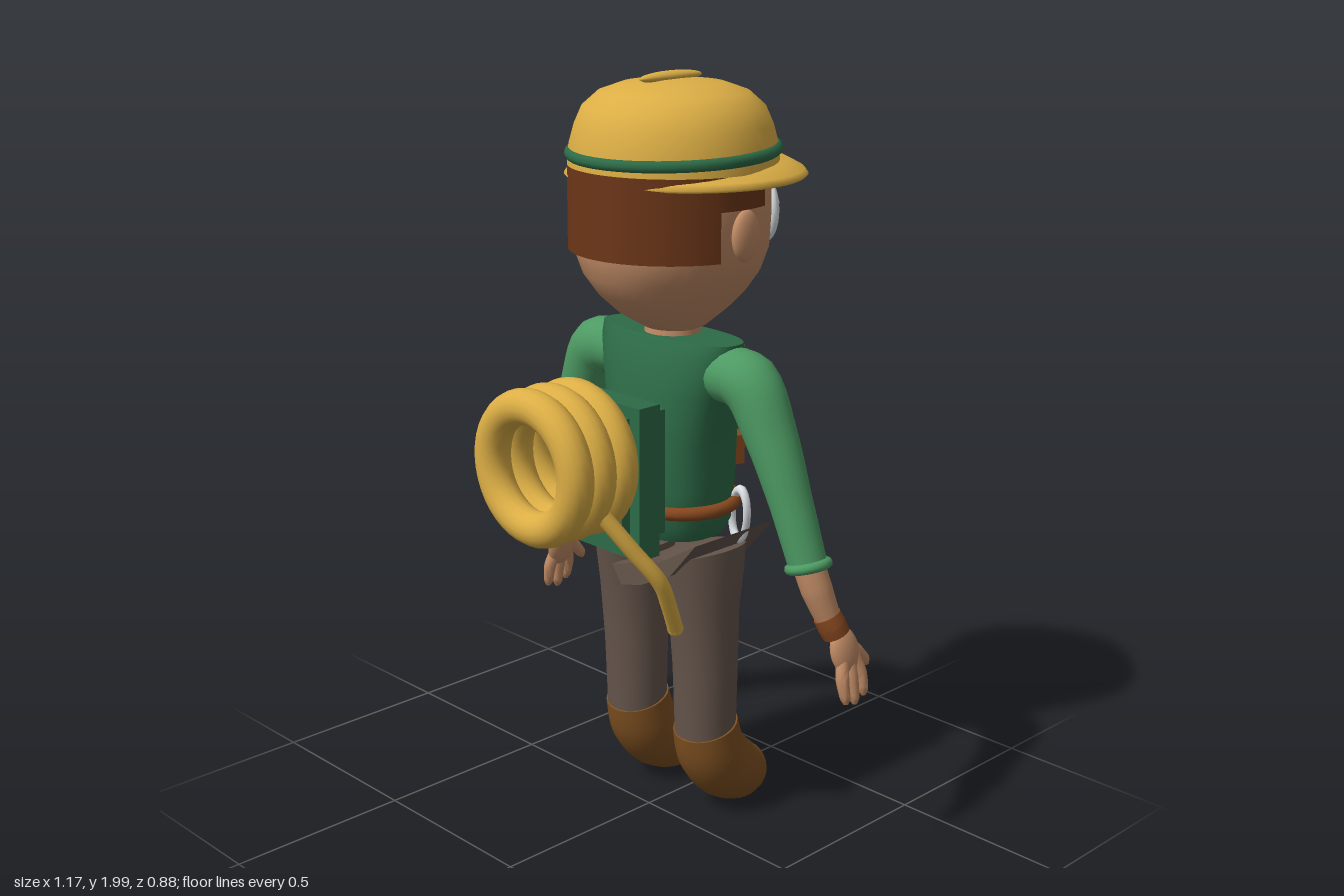
import * as THREE from 'three';
import { toCreasedNormals } from 'three/addons/utils/BufferGeometryUtils.js';

const V = (x, y, z) => new THREE.Vector3(x, y, z);
const mat = (name, color) => {
  const m = new THREE.MeshStandardMaterial({ color });
  m.name = name;
  return m;
};

// Closed solid through a list of equal-length rings, capped at both ends
function loft(rings, crease = 0.9) {
  const n = rings[0].length, pos = [], idx = [];
  rings.forEach(r => r.forEach(p => pos.push(p.x, p.y, p.z)));
  for (let i = 0; i < rings.length - 1; i++) for (let j = 0; j < n; j++) {
    const a = i * n + j, b = i * n + (j + 1) % n;
    idx.push(a, a + n, b, b, a + n, b + n);
  }
  [0, rings.length - 1].forEach((r, top) => {
    const c = V(0, 0, 0);
    rings[r].forEach(p => c.addScaledVector(p, 1 / n));
    pos.push(c.x, c.y, c.z);
    for (let j = 0; j < n; j++) {
      const a = r * n + j, b = r * n + (j + 1) % n, m = pos.length / 3 - 1;
      if (top) idx.push(m, b, a); else idx.push(m, a, b);
    }
  });
  const g = new THREE.BufferGeometry();
  g.setAttribute('position', new THREE.Float32BufferAttribute(pos, 3));
  g.setIndex(idx);
  return toCreasedNormals(g, crease);
}

// Horizontal ring: [height, half width, back z, front z, centre x]
function ring([y, rx, zb, zf, cx = 0], n = 32, p = 1, grow = 0) {
  const f = t => Math.sign(t) * Math.abs(t) ** p, out = [];
  for (let j = 0; j < n; j++) {
    const a = j / n * Math.PI * 2;
    out.push(V(cx + (rx + grow) * f(Math.cos(a)), y, (zb + zf) / 2 + ((zb - zf) / 2 + grow) * f(Math.sin(a))));
  }
  return out;
}

// Tapered limb along a smooth path
function sweep(pts, radii, ref, n = 20, steps = 20) {
  const curve = new THREE.CatmullRomCurve3(pts.map(p => V(...p))), rings = [];
  for (let i = 0; i <= steps; i++) {
    const t = i / steps, s = t * (radii.length - 1), k = Math.min(Math.floor(s), radii.length - 2);
    const r = THREE.MathUtils.lerp(radii[k], radii[k + 1], s - k);
    const c = curve.getPoint(t), d = curve.getTangent(t);
    const u = ref.clone().addScaledVector(d, -ref.dot(d)).normalize(), v = u.clone().cross(d);
    rings.push(Array.from({ length: n }, (_, j) => {
      const a = j / n * Math.PI * 2;
      return c.clone().addScaledVector(u, r * Math.cos(a)).addScaledVector(v, r * Math.sin(a));
    }));
  }
  return loft(rings);
}

export function createModel() {
  const root = new THREE.Group();
  const yellow = mat('yellow', 0xdcae45), skin = mat('skin', 0xc28c66), darkGreen = mat('dark green', 0x2d6b47),
    green = mat('sleeve green', 0x4d9a63), hairBrown = mat('hair brown', 0x6c3618), boot = mat('boot brown', 0x7c4f20),
    pants = mat('trouser grey brown', 0x65554b), pale = mat('pale silver', 0xdde2e6), blue = mat('eye blue', 0x2d6c92),
    leather = mat('leather', 0x87481f);
  const add = (name, geo, m, pos = [0, 0, 0], scale = [1, 1, 1], rot = [0, 0, 0], parent = root) => {
    const o = new THREE.Mesh(geo, m);
    o.name = name;
    o.position.set(...pos); o.scale.set(...scale); o.rotation.set(...rot);
    parent.add(o);
    return o;
  };
  const ball = new THREE.SphereGeometry(1, 24, 16);
  const tube = (pts, r) => new THREE.TubeGeometry(new THREE.CatmullRomCurve3(pts.map(p => V(...p))), 32, r, 10);
  const X = V(1, 0, 0), Z = V(0, 0, 1);

  // Head and hair
  const skull = [[1.345, 0.06, -0.03, -0.13], [1.36, 0.085, 0.0, -0.18], [1.4, 0.125, 0.07, -0.25],
    [1.45, 0.175, 0.125, -0.295], [1.5, 0.215, 0.158, -0.32], [1.56, 0.243, 0.175, -0.333],
    [1.65, 0.25, 0.178, -0.335], [1.75, 0.25, 0.175, -0.33], [1.82, 0.23, 0.15, -0.31]];
  add('head', loft(skull.map(s => ring(s))), skin);
  add('neck', new THREE.CylinderGeometry(0.07, 0.08, 0.1, 24), skin, [0, 1.33, -0.085]);
  // Hair layers are pie slices around the back; a is how far they wrap past the sides
  const hairLayer = (name, y0, y1, a) => {
    const slice = y => {
      const pts = [];
      for (let j = 0; j <= 32; j++) {
        const t = -a + j / 32 * (Math.PI + 2 * a);
        pts.push(V(0.261 * Math.cos(t), y, -0.08 + 0.267 * Math.sin(t)));
      }
      return [...pts, V(0, y, -0.08)];
    };
    add(name, loft([slice(y0), slice(y1)]), hairBrown);
  };
  hairLayer('backHair', 1.56, 1.77, -0.3);
  hairLayer('sideHair', 1.685, 1.77, 0.28);
  add('fringe', loft([1.725, 1.78].map(y => ring([y, 0.256, 0.18, -0.342]))), hairBrown);

  // Face
  for (const s of [1, -1]) {
    add('ear', ball, skin, [s * 0.257, 1.62, -0.08], [0.022, 0.065, 0.045]);
    const eye = new THREE.Group();
    eye.name = 'eye';
    eye.position.set(s * 0.115, 1.64, -0.308);
    eye.rotation.y = -s * 0.4;
    root.add(eye);
    add('eyeWhite', ball, pale, [0, 0, 0], [0.056, 0.082, 0.026], [0, 0, 0], eye);
    add('iris', ball, blue, [-s * 0.008, -0.004, -0.018], [0.037, 0.053, 0.014], [0, 0, 0], eye);
    add('pupil', ball, hairBrown, [-s * 0.012, -0.006, -0.027], [0.02, 0.03, 0.008], [0, 0, 0], eye);
    add('eyeGlint', ball, pale, [-s * 0.002, 0.016, -0.032], [0.008, 0.01, 0.004], [0, 0, 0], eye);
  }
  add('nose', ball, skin, [0, 1.585, -0.352], [0.025, 0.025, 0.025]);
  add('mouth', tube([[-0.045, 1.5, -0.309], [-0.02, 1.485, -0.314], [0.02, 1.485, -0.314], [0.045, 1.5, -0.309]], 0.007), leather);

  // Helmet
  const lathe = pts => new THREE.LatheGeometry(pts.map(p => new THREE.Vector2(...p)), 48);
  add('helmetDome', lathe([[0.268, 1.77], [0.264, 1.82], [0.25, 1.87], [0.23, 1.915], [0.19, 1.95], [0.13, 1.971],
    [0.06, 1.98], [0, 1.982]]), yellow, [0, 0, -0.085]);
  add('helmetBrim', lathe([[0.2, 1.765], [0.27, 1.752], [0.302, 1.737], [0.31, 1.744], [0.3, 1.757], [0.26, 1.778], [0.2, 1.79]]),
    yellow, [0, 0, -0.13]);
  add('helmetBand', new THREE.TorusGeometry(0.258, 0.017, 10, 48), darkGreen, [0, 1.806, -0.085], [1, 1, 1], [Math.PI / 2 + 0.04, 0, 0]);
  add('helmetRidge', ball, yellow, [0, 1.985, -0.075], [0.023, 0.015, 0.107]);

  // Torso
  const torso = [[0.81, 0.15, 0.04, -0.19], [0.85, 0.168, 0.06, -0.215], [0.95, 0.172, 0.066, -0.222], [1.08, 0.175, 0.058, -0.225],
    [1.2, 0.2, 0.045, -0.212], [1.3, 0.228, 0.022, -0.188], [1.34, 0.232, 0.0, -0.165]];
  add('vest', loft(torso.map(s => ring(s, 40, 0.8))), darkGreen);
  add('belt', new THREE.TorusGeometry(0.185, 0.018, 10, 40), leather, [0, 0.895, -0.08], [1, 0.84, 1], [Math.PI / 2, 0, 0]);
  add('beltBuckle', new THREE.BoxGeometry(0.06, 0.05, 0.02), leather, [0, 0.895, -0.24]);
  add('chestStrap', tube([[0.14, 1.31, -0.18], [0.1, 1.22, -0.222], [0.03, 1.12, -0.236], [-0.06, 1, -0.234],
    [-0.14, 0.9, -0.2], [-0.19, 0.86, -0.14]], 0.018), yellow);
  add('pouch', new THREE.BoxGeometry(0.05, 0.075, 0.03), leather, [0.115, 1.02, -0.205], [1, 1, 1], [0, -0.35, 0]);
  add('pouchFlap', new THREE.BoxGeometry(0.06, 0.025, 0.04), leather, [0.115, 1.05, -0.207], [1, 1, 1], [0, -0.35, 0]);
  add('pocket', new THREE.BoxGeometry(0.085, 0.08, 0.02), leather, [-0.125, 1.0, -0.205], [1, 1, 1], [0, 0.35, 0]);
  add('button', ball, leather, [-0.02, 1.2, -0.213], [0.014, 0.014, 0.008]);

  // Metal clips
  const clip = new THREE.TorusGeometry(0.06, 0.012, 8, 32);
  for (const s of [1, -1]) add('beltClip', clip, pale, [s * 0.185, 0.865, -0.15], [0.6, 1.15, 1], [0, -s * 0.25, -s * 0.1]);
  add('chestClip', clip, pale, [0.1, 1.22, -0.222], [1, 0.65, 1], [0.15, -0.2, -0.5]);

  // Arms, built on the +x side and mirrored
  for (const s of [1, -1]) {
    const arm = new THREE.Group();
    arm.name = s > 0 ? 'leftArm' : 'rightArm';
    arm.scale.x = s;
    root.add(arm);
    const part = (name, geo, m, pos, scale, rot) => add(name, geo, m, pos, scale, rot, arm);
    part('sleeve', sweep([[0.18, 1.26, -0.08], [0.275, 1.25, -0.082], [0.345, 1.13, -0.088], [0.41, 0.97, -0.095], [0.465, 0.81, -0.105]],
      [0.07, 0.078, 0.068, 0.056, 0.05], Z), green);
    part('cuff', new THREE.TorusGeometry(0.048, 0.014, 10, 28), green, [0.466, 0.81, -0.105], [1, 1, 1], [Math.PI / 2, 0.3, 0]);
    part('forearm', sweep([[0.455, 0.85, -0.1], [0.487, 0.75, -0.115], [0.52, 0.64, -0.145]], [0.042, 0.041, 0.03], Z), skin);
    part('wristband', sweep([[0.508, 0.68, -0.133], [0.518, 0.655, -0.141], [0.526, 0.63, -0.15]], [0.037, 0.038, 0.036], Z), leather);
    part('palm', ball, skin, [0.543, 0.585, -0.165], [0.025, 0.065, 0.046], [0.15, 0, 0.2]);
    [[-0.137, 0.455], [-0.172, 0.445], [-0.206, 0.46]].forEach(([z, y]) =>
      part('finger', sweep([[0.549, 0.57, z * 0.6 - 0.068], [0.562, 0.52, z], [0.572, y + 0.015, z - 0.002], [0.575, y, z - 0.002]],
        [0.017, 0.018, 0.014, 0.006], Z, 12, 12), skin));
    part('thumb', sweep([[0.535, 0.61, -0.18], [0.54, 0.57, -0.215], [0.545, 0.54, -0.242], [0.547, 0.525, -0.25]],
      [0.016, 0.018, 0.015, 0.006], X, 12, 12), skin);
  }

  // Legs: trouser tops slope down toward the middle
  for (const s of [1, -1]) {
    const rings = [[0.25, 0.083, 0, -0.165, s * 0.133], [0.45, 0.088, 0.008, -0.168, s * 0.133], [0.62, 0.092, 0.025, -0.172, s * 0.132],
      [0.71, 0.098, 0.04, -0.19, s * 0.13], [0.77, 0.1, 0.05, -0.2, s * 0.126]].map(r => ring(r, 28));
    rings[4].forEach(p => { p.y += (Math.abs(p.x) - 0.126) * 0.25; });
    add(s > 0 ? 'leftTrouserLeg' : 'rightTrouserLeg', loft(rings), pants);
    add(s > 0 ? 'leftBoot' : 'rightBoot', sweep([[s * 0.133, 0.27, -0.083], [s * 0.133, 0.19, -0.105], [s * 0.133, 0.125, -0.155],
      [s * 0.131, 0.09, -0.215], [s * 0.13, 0.08, -0.265], [s * 0.13, 0.075, -0.297]], [0.089, 0.095, 0.095, 0.086, 0.065, 0.035], X, 24, 24), boot);
  }
  // Slanting trouser waist piece
  const flap = new THREE.Shape([[-0.08, 0.71], [-0.045, 0.66], [0.03, 0.68], [0.14, 0.735], [0.23, 0.84], [0.1, 0.762]]
    .map(p => new THREE.Vector2(...p)));
  add('trouserFlap', new THREE.ExtrudeGeometry(flap, { depth: 0.29, bevelEnabled: false }), pants, [0, 0, -0.23]);

  // Backpack and rope coil
  add('packFrame', new THREE.BoxGeometry(0.31, 0.4, 0.07), darkGreen, [0, 1.01, 0.148]);
  add('packBody', new THREE.BoxGeometry(0.24, 0.33, 0.15), darkGreen, [0, 1.015, 0.135]);
  for (let i = 0; i < 3; i++)
    add('ropeCoil', new THREE.TorusGeometry(0.156, 0.046, 16, 40), yellow, [0, 1.07, 0.25 + i * 0.073]);
  add('ropeTail', tube([[0.15, 0.97, 0.31], [0.2, 0.87, 0.25], [0.235, 0.78, 0.19], [0.222, 0.7, 0.145], [0.2, 0.62, 0.1]], 0.021), yellow);
  add('ropeEnd', ball, yellow, [0.2, 0.62, 0.1], [0.021, 0.021, 0.021]);
  return root;
}
